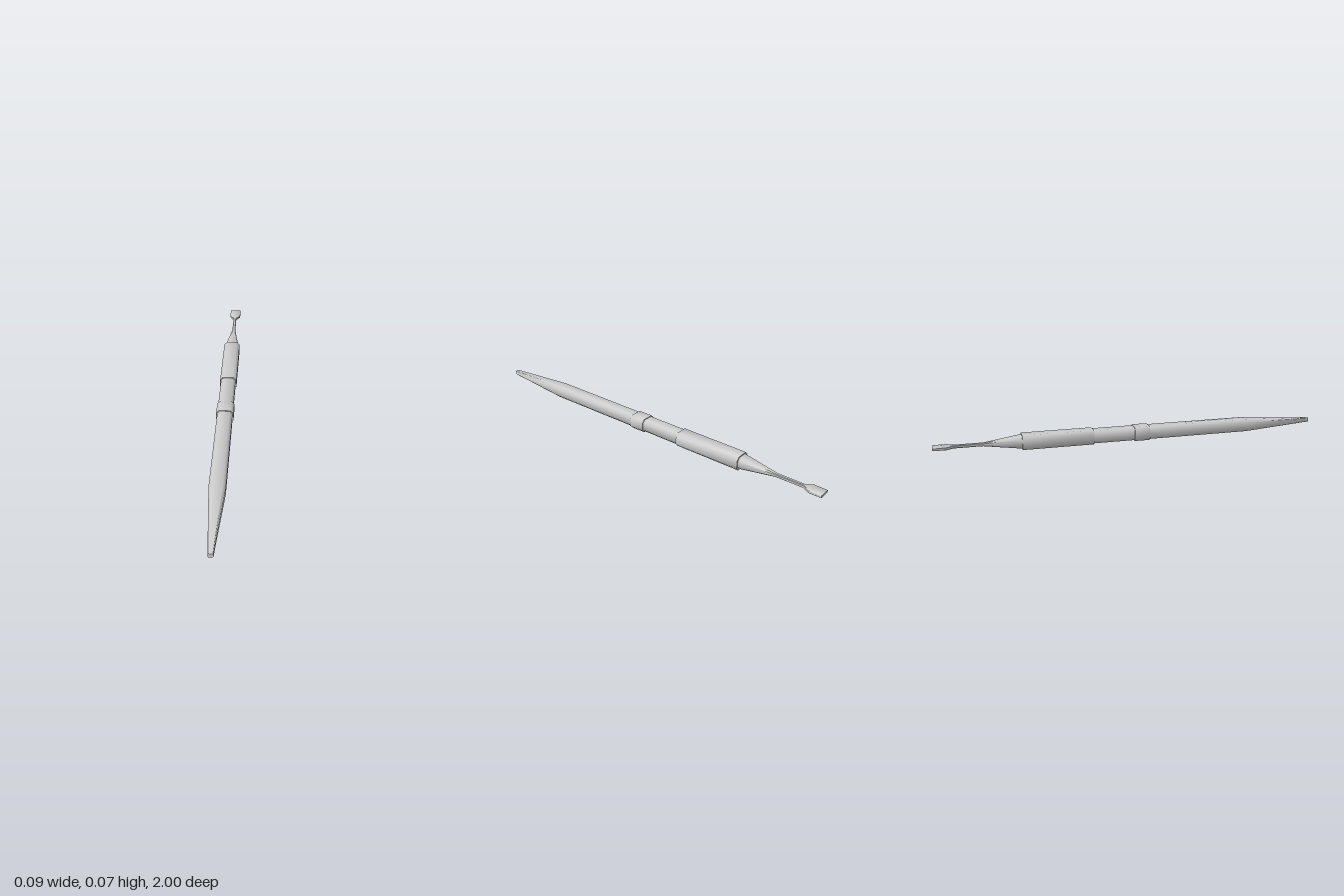
import * as THREE from 'three';
import { toCreasedNormals } from 'three/addons/utils/BufferGeometryUtils.js';

const CENTER_Y = 0.0375;
const material = new THREE.MeshStandardMaterial({ color: 0xcccccc });

// Eight-sided chamfered rectangle, counter-clockwise seen from +z
function section([z, w, h, cx, cy = cx]) {
  return [
    [w, cy - h], [w, h - cy], [w - cx, h], [cx - w, h],
    [-w, h - cy], [-w, cy - h], [cx - w, -h], [w - cx, -h],
  ].map(([x, y]) => [x, y, z]);
}

// Closed loft through stations [z, halfWidth, halfHeight, chamferX, chamferY], front to back
function loft(name, stations) {
  const rings = stations.map(section);
  const n = 8;
  const index = [];
  for (let r = 0; r < rings.length - 1; r++) {
    for (let j = 0; j < n; j++) {
      const a = r * n + j, b = r * n + (j + 1) % n;
      index.push(a, a + n, b + n, a, b + n, b);
    }
  }
  const last = (rings.length - 1) * n;
  for (let j = 1; j < n - 1; j++) {
    index.push(0, j, j + 1, last, last + j + 1, last + j);
  }
  const geometry = new THREE.BufferGeometry();
  geometry.setAttribute('position', new THREE.Float32BufferAttribute(rings.flat(2), 3));
  geometry.setIndex(index);
  const mesh = new THREE.Mesh(toCreasedNormals(geometry, Math.PI / 3), material);
  mesh.name = name;
  mesh.position.y = CENTER_Y;
  return mesh;
}

export function createModel() {
  const group = new THREE.Group();
  group.name = 'spatulaTool';

  group.add(
    // Long handle, tapering to a blunt front end
    loft('handle', [
      [1, 0.012, 0.011, 0.003],
      [0.62, 0.039, 0.033, 0.014],
      [-0.23, 0.039, 0.033, 0.014],
    ]),
    // Raised band at the middle
    loft('band', [
      [0.08, 0.044, 0.037, 0.015, 0.016],
      [0, 0.044, 0.037, 0.015, 0.016],
    ]),
    // Thicker grip
    loft('grip', [
      [-0.214, 0.044, 0.037, 0.015, 0.016],
      [-0.573, 0.044, 0.037, 0.015, 0.016],
    ]),
    // Tapered neck, thin shank and flat blade
    loft('neckAndBlade', [
      [-0.56, 0.038, 0.032, 0.014],
      [-0.573, 0.037, 0.031, 0.014],
      [-0.76, 0.009, 0.008, 0.003],
      [-0.9, 0.008, 0.008, 0.003],
      [-0.935, 0.03, 0.0075, 0.002],
      [-1, 0.03, 0.0065, 0.002],
    ]),
  );
  return group;
}
